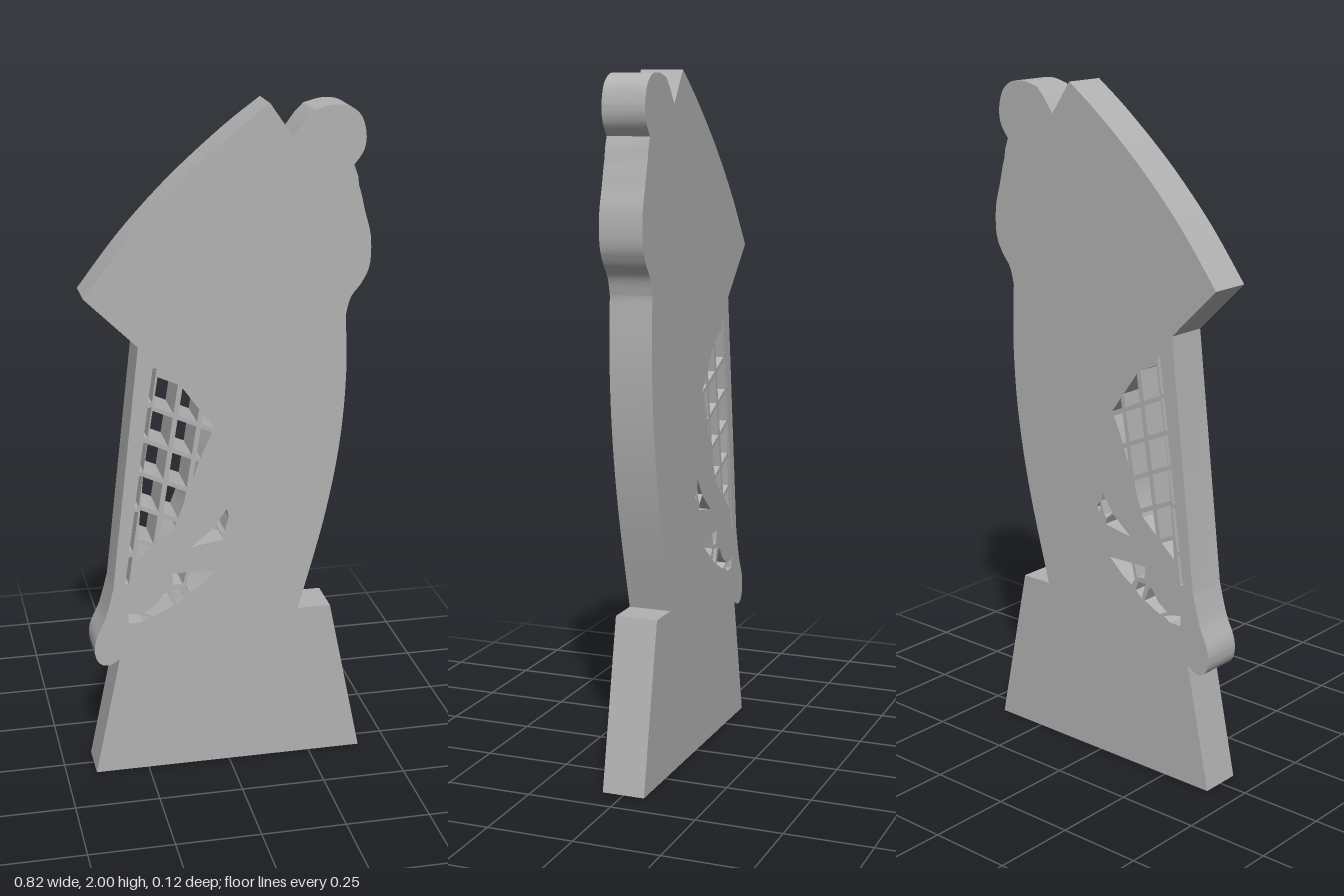
import * as THREE from 'three';
import { toCreasedNormals } from 'three/addons/utils/BufferGeometryUtils.js';

const DEPTH = 0.125;
const vecs = (list) => list.map(([x, y]) => new THREE.Vector2(x, y));

// Keep the part of a convex polygon where f(x, y) >= 0
function clip(poly, f) {
  const out = [];
  poly.forEach((a, i) => {
    const b = poly[(i + 1) % poly.length];
    const fa = f(...a), fb = f(...b);
    if (fa >= 0) out.push(a);
    if (fa * fb < 0) {
      const t = fa / (fa - fb);
      out.push([a[0] + (b[0] - a[0]) * t, a[1] + (b[1] - a[1]) * t]);
    }
  });
  return out;
}

// Silhouette: plinth, bowed back, round head, fanned top, narrow front edge
function outline() {
  const s = new THREE.Shape();
  s.moveTo(-0.41, 0);
  s.lineTo(0.41, 0);
  s.lineTo(0.31, 0.487);
  s.lineTo(0.21, 0.487);
  s.splineThru(vecs([[0.285, 0.77], [0.327, 1.0], [0.343, 1.21], [0.338, 1.395]]));
  s.splineThru(vecs([[0.352, 1.445], [0.385, 1.49], [0.405, 1.54], [0.405, 1.62], [0.387, 1.69], [0.375, 1.74]]));
  // neck ridges
  s.lineTo(0.367, 1.765);
  s.lineTo(0.364, 1.79);
  s.lineTo(0.352, 1.823);
  // head
  s.splineThru(vecs([[0.378, 1.86], [0.385, 1.905], [0.37, 1.957], [0.335, 1.985], [0.29, 1.99], [0.262, 1.985]]));
  s.lineTo(0.236, 1.978);
  s.lineTo(0.21, 1.952);
  s.lineTo(0.177, 1.907);
  // fanned top
  s.lineTo(0.112, 2);
  s.splineThru(vecs([[0.0, 1.916], [-0.15, 1.785], [-0.29, 1.638], [-0.412, 1.482]]));
  s.lineTo(-0.262, 1.335);
  s.lineTo(-0.347, 0.6);
  // rounded toe
  s.splineThru(vecs([[-0.372, 0.51], [-0.402, 0.44], [-0.404, 0.39], [-0.388, 0.362], [-0.362, 0.357], [-0.332, 0.374]]));
  s.closePath();
  return s;
}

// Openings of the slanted lattice window
function latticeHoles() {
  const region = [[-0.203, 1.272], [-0.135, 1.205], [-0.045, 1.08], [-0.077, 1.013],
    [-0.162, 0.785], [-0.278, 0.685], [-0.252, 0.96]];
  const u = (x, y) => x - 0.16 * (y - 0.97);
  const v = (x, y) => y + 0.45 * (x + 0.18);
  const holes = [];
  for (const [lo, hi] of [[-0.27, -0.189], [-0.174, -0.116], [-0.102, -0.02]]) {
    for (let k = -5; k <= 2; k++) {
      const c = 1.08 + k * 0.106;
      let p = clip(region, (x, y) => u(x, y) - lo);
      p = clip(p, (x, y) => hi - u(x, y));
      p = clip(p, (x, y) => v(x, y) - c + 0.046);
      p = clip(p, (x, y) => c + 0.046 - v(x, y));
      if (p.length > 2 && Math.abs(THREE.ShapeUtils.area(vecs(p))) > 0.0003) holes.push(p);
    }
  }
  return holes;
}

// Thin slits beside the lattice
function slitHoles() {
  const mid = (y) => -0.305 + (y - 0.62) * 0.137;
  return [[0.615, 0.7], [0.715, 0.84], [0.855, 0.95], [0.965, 1.05], [1.065, 1.155], [1.17, 1.27]].map(
    ([a, b]) => [[mid(a) - 0.006, a], [mid(a) + 0.005, a], [mid(b) + 0.006, b], [mid(b) - 0.005, b]]);
}

// Small cut-outs below the lattice
const lowerHoles = [
  [[-0.115, 0.715], [-0.05, 0.768], [-0.028, 0.755], [-0.018, 0.732]],
  [[-0.045, 0.775], [-0.008, 0.826], [-0.002, 0.8], [-0.014, 0.76], [-0.025, 0.752]],
  [[0.003, 0.796], [0.014, 0.778], [0.003, 0.765]],
  [[-0.304, 0.52], [-0.268, 0.512], [-0.243, 0.503], [-0.265, 0.488], [-0.304, 0.488]],
  [[-0.257, 0.516], [-0.22, 0.541], [-0.198, 0.575], [-0.186, 0.575], [-0.17, 0.532], [-0.225, 0.504]],
  [[-0.172, 0.636], [-0.13, 0.636], [-0.14, 0.598], [-0.168, 0.6]],
  [[-0.172, 0.583], [-0.146, 0.585], [-0.135, 0.555], [-0.158, 0.536]],
  [[-0.12, 0.636], [-0.036, 0.634], [-0.085, 0.59], [-0.12, 0.568], [-0.132, 0.59]],
];

export function createModel() {
  const gray = new THREE.MeshStandardMaterial({ color: 0xb2b2b2 });
  gray.name = 'plain gray';

  const shape = outline();
  for (const h of [...latticeHoles(), ...slitHoles(), ...lowerHoles]) shape.holes.push(new THREE.Path(vecs(h)));

  const geo = new THREE.ExtrudeGeometry(shape, { depth: DEPTH, bevelEnabled: false, curveSegments: 5 });
  geo.translate(0, 0, -DEPTH / 2);
  const body = new THREE.Mesh(toCreasedNormals(geo, 0.45), gray);
  body.name = 'cutoutPanel';

  const group = new THREE.Group();
  group.name = 'flatFigure';
  group.add(body);
  return group;
}
